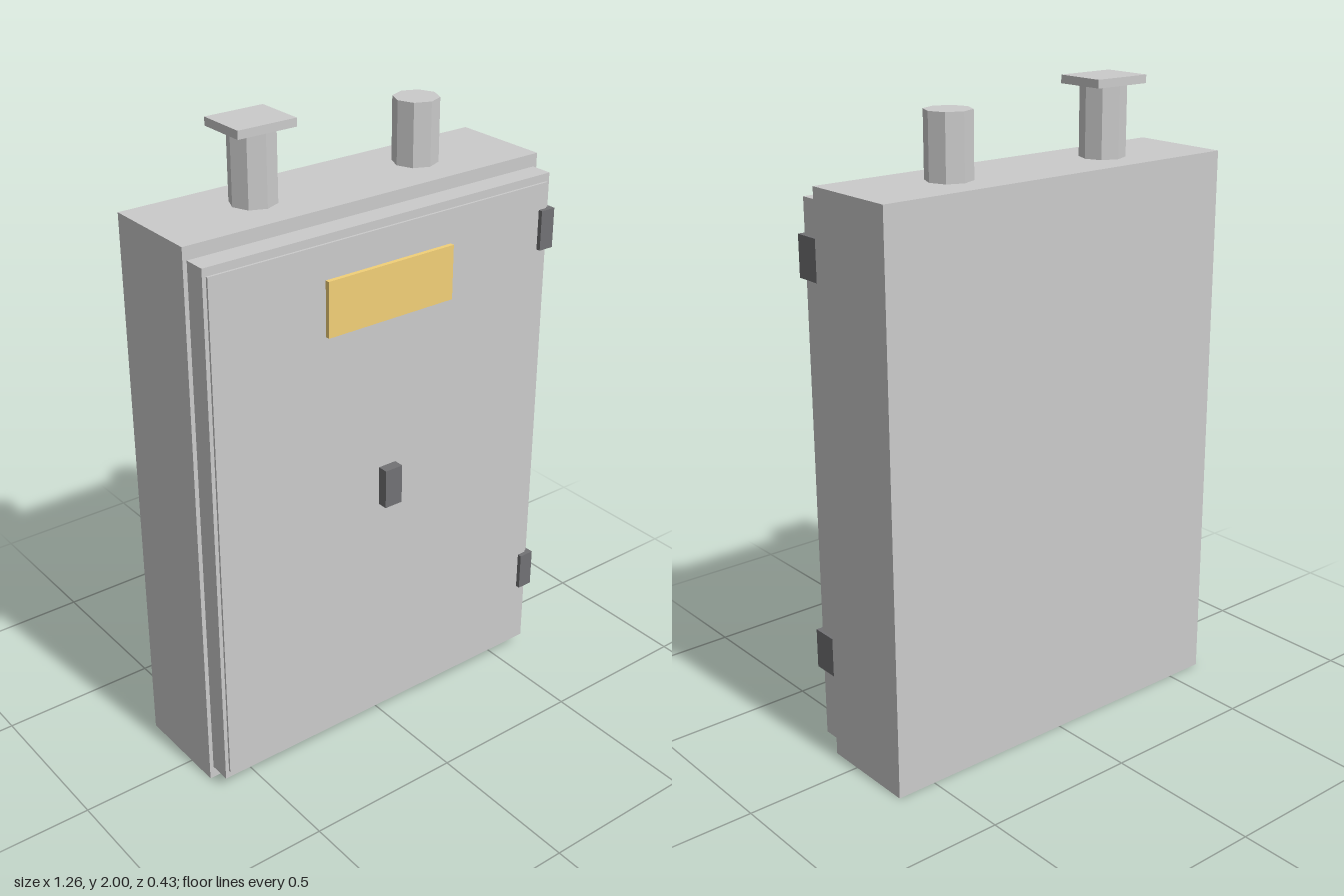
import * as THREE from 'three';

const material = (color) => new THREE.MeshStandardMaterial({ color, flatShading: true });

export function createModel() {
  const model = new THREE.Group();
  model.name = 'wallCabinet';
  const grey = material(0xcccccc);
  const dark = material(0x727275);
  const brass = material(0xf2d078);

  const add = (name, geometry, mat, x, y, z) => {
    const mesh = new THREE.Mesh(geometry, mat);
    mesh.name = name;
    mesh.position.set(x, y, z);
    model.add(mesh);
  };
  // Box given by its minimum and maximum on each axis
  const box = (name, mat, [x0, x1], [y0, y1], [z0, z1]) =>
    add(name, new THREE.BoxGeometry(x1 - x0, y1 - y0, z1 - z0), mat,
      (x0 + x1) / 2, (y0 + y1) / 2, (z0 + z1) / 2);

  // Cabinet body, door and the thin raised face on the door
  box('body', grey, [-0.628, 0.628], [0, 1.76], [-0.217, 0.107]);
  box('door', grey, [-0.615, 0.615], [0.04, 1.72], [0.107, 0.177]);
  box('doorFace', grey, [-0.603, 0.603], [0.065, 1.695], [0.177, 0.184]);

  // Name plate and latch
  box('plate', brass, [-0.225, 0.225], [1.42, 1.59], [0.18, 0.198]);
  box('latch', dark, [-0.031, 0.031], [0.81, 0.937], [0.18, 0.217]);

  // Hinges on the door's left edge
  for (const y of [0.325, 1.55]) {
    box('hinge', dark, [0.573, 0.624], [y - 0.063, y + 0.063], [0.107, 0.198]);
  }

  // Octagonal pipes on top, one with a square cap
  for (const [x, top] of [[-0.29, 1.975], [0.29, 1.955]]) {
    const height = top - 1.75;
    add('pipe', new THREE.CylinderGeometry(0.07, 0.07, height, 8), grey, x, 1.75 + height / 2, -0.06);
  }
  box('pipeCap', grey, [-0.387, -0.195], [1.975, 2], [-0.14, 0.02]);

  return model;
}
